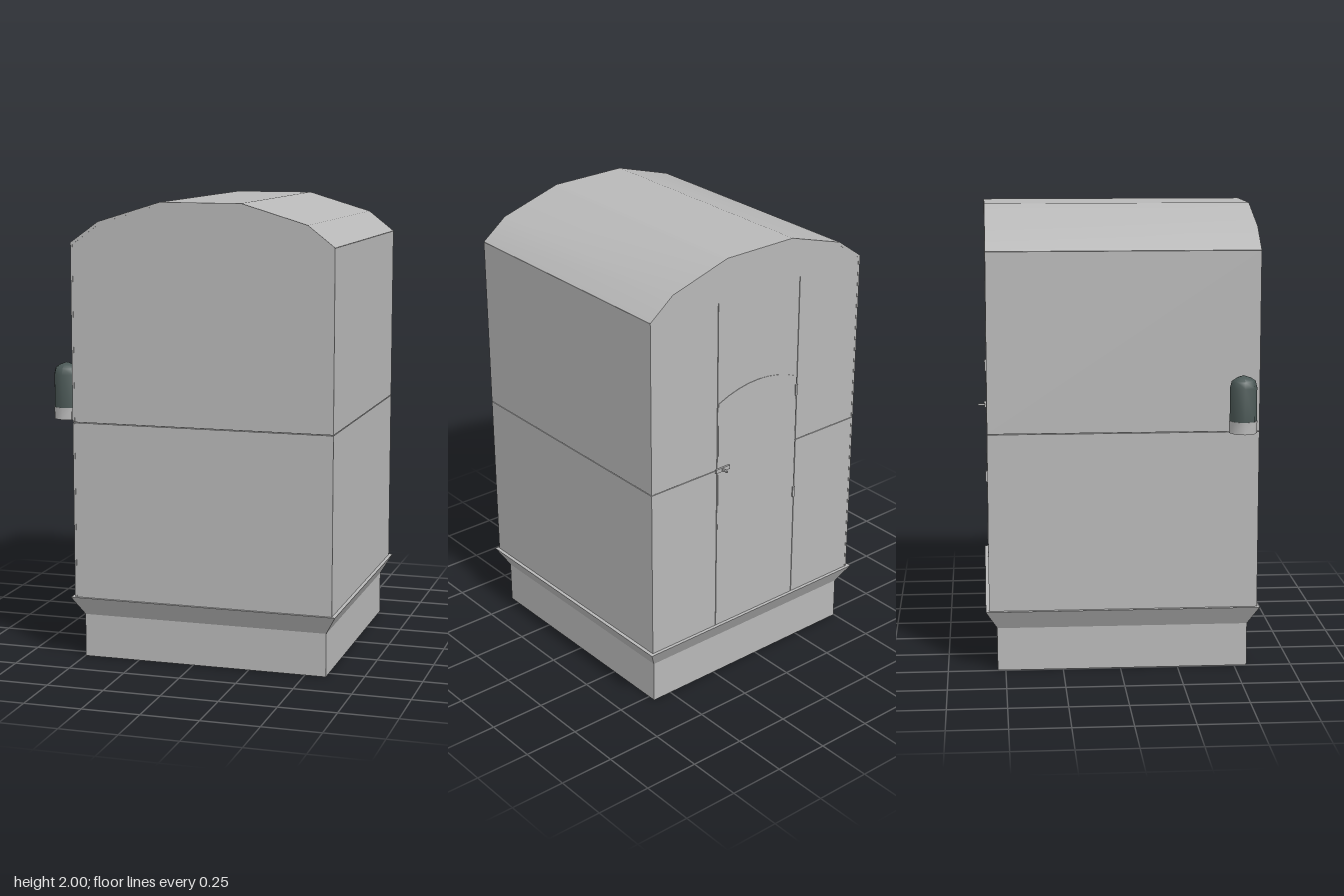
import * as THREE from 'three';
import { toCreasedNormals } from 'three/addons/utils/BufferGeometryUtils.js';

const CX = 0.0475, CZ = 0.01;
const X0 = -0.53, X1 = 0.625, Z0 = -0.57, Z1 = 0.593;   // cabin walls
const FLOOR = 0.275, MID = 1.05, EAVES = 1.825;
const T = 0.009, GAP = 0.003;                           // panel thickness, seam width

export function createModel() {
  const model = new THREE.Group();
  model.name = 'cabin';
  const panelGrey = new THREE.MeshStandardMaterial({ color: 0xb8b8b8 });
  const lampGlass = new THREE.MeshStandardMaterial({ color: 0x4b5856 });

  const add = (name, geo, x = 0, y = 0, z = 0, mat = panelGrey) => {
    const mesh = new THREE.Mesh(geo, mat);
    mesh.name = name;
    mesh.position.set(x, y, z);
    model.add(mesh);
    return mesh;
  };
  // Box given by its limits
  const box = (name, x0, x1, y0, y1, z0, z1) =>
    add(name, new THREE.BoxGeometry(x1 - x0, y1 - y0, z1 - z0), (x0 + x1) / 2, (y0 + y1) / 2, (z0 + z1) / 2);
  // Extruded outline between two depths
  const prism = (name, pts, z0, z1) => {
    const shape = new THREE.Shape(pts.map(p => new THREE.Vector2(p[0], p[1])));
    const geo = new THREE.ExtrudeGeometry(shape, { depth: z1 - z0, bevelEnabled: false });
    return add(name, toCreasedNormals(geo, 0.5), 0, 0, z0);
  };

  // Plinth with a flared skirt
  box('plinth', CX - 0.545, CX + 0.545, 0, 0.19, CZ - 0.545, CZ + 0.545);
  const skirt = new THREE.CylinderGeometry(0.594 * Math.SQRT2, 0.545 * Math.SQRT2, 0.085, 4)
    .rotateY(Math.PI / 4).toNonIndexed();
  skirt.computeVertexNormals();
  add('flaredSkirt', skirt, CX, 0.2325, CZ);

  // Arched core behind the panels
  const arch = [[X0, EAVES], [-0.405, 1.915], [-0.13, 2], [0.225, 2], [0.51, 1.915], [X1, EAVES]];
  const inner = arch.map(([x, y]) => [CX + (x - CX) * 0.985, y - T]);
  prism('cabinCore', [[inner[0][0], FLOOR], ...inner, [inner[5][0], FLOOR]].reverse(), Z0 + 0.008, Z1 - 0.008);

  // Roof: two curved slopes and a flat crown
  const roofPart = (name, a, b) =>
    prism(name, [...arch.slice(a, b + 1), ...inner.slice(a, b + 1).reverse()].reverse(), Z0, Z1);
  roofPart('roofSlopeRight', 0, 2);
  roofPart('roofCrown', 2, 3);
  roofPart('roofSlopeLeft', 3, 5);

  // Wall panels in two rows, split by seams
  const rows = [[FLOOR, MID - GAP / 2], [MID + GAP / 2, EAVES - GAP / 2]];
  const D0 = -0.18, D1 = 0.27;
  for (const [y0, y1] of rows) {
    box('sideWallRight', X0, X0 + T, y0, y1, Z0, Z1);
    box('sideWallLeft', X1 - T, X1, y0, y1, Z0, Z1);
    box('frontPanel', X0 + T, X1 - T, y0, y1, Z1 - T, Z1 - 0.001);
    const cols = [[X0 + T, D0 - GAP / 2], [D0 + GAP / 2, D1 - GAP / 2], [D1 + GAP / 2, X1 - T]];
    cols.forEach(([a, b], i) =>
      box(i === 1 ? 'doorPanel' : 'backPanel', a, b, y0, y1, Z0 + 0.001, Z0 + T));
  }

  // Gable ends
  const gable = [...inner].reverse();
  prism('frontGable', gable, Z1 - T, Z1 - 0.001);
  prism('backGable', gable, Z0 + 0.001, Z0 + T);

  // Raised door plate with bowed top and bottom
  const plate = [];
  for (const s of [1, -1]) {
    for (let i = 0; i <= 8; i++) {
      const t = i / 4 - 1;
      plate.push([(D0 + D1) / 2 + s * -t * -0.22 * -1, 1.06 + s * (0.35 - 0.05 * t * t)]);
    }
  }
  prism('doorPlate', plate, Z0 - 0.001, Z0 + 0.004);

  // Door hinges and handle
  for (const y of [0.795, 1.295]) box('doorHinge', D0, D0 + 0.012, y - 0.025, y + 0.025, Z0 - 0.007, Z0 + 0.004);
  box('handlePlate', 0.205, 0.28, 1.04, 1.058, Z0 - 0.009, Z0);
  box('handleLever', 0.241, 0.249, 1.045, 1.053, -0.608, Z0);

  // Side lamp: bracket, collar and domed glass
  const LX = -0.585, LZ = 0.515;
  box('lampBracket', LX, X0 + 0.004, 1.055, 1.105, LZ - 0.045, LZ + 0.045);
  add('lampCollar', toCreasedNormals(new THREE.CylinderGeometry(0.06, 0.06, 0.052, 8), 0.9), LX, 1.081, LZ);
  const dome = [[0, 1.1], [0.058, 1.1], [0.058, 1.25], [0.051, 1.278], [0.03, 1.292], [0, 1.302]]
    .map(([r, y]) => new THREE.Vector2(r, y));
  add('lampGlass', toCreasedNormals(new THREE.LatheGeometry(dome, 8), 0.9), LX, 0, LZ, lampGlass);

  return model;
}
